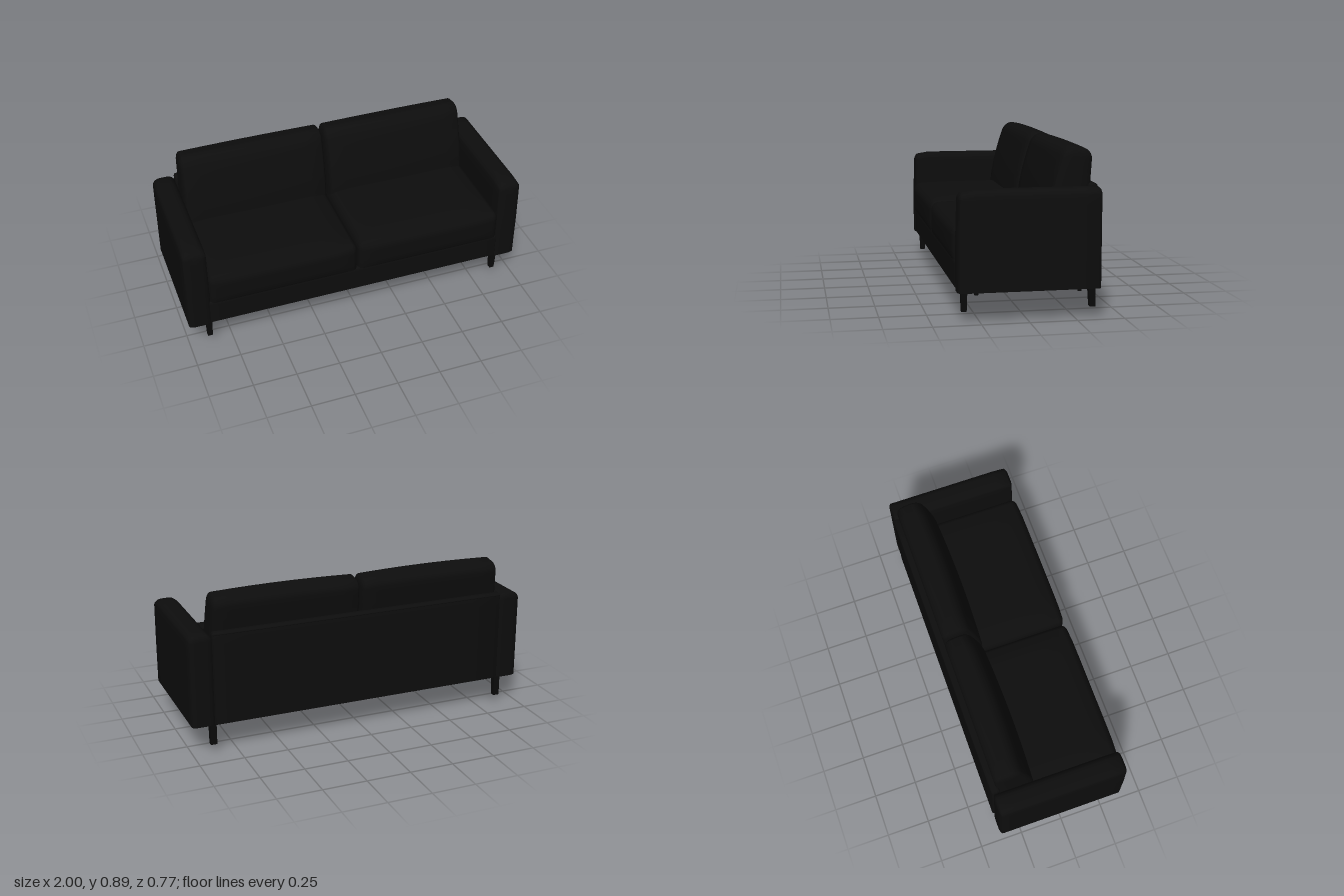
import * as THREE from 'three';
import { mergeVertices, toCreasedNormals } from 'three/addons/utils/BufferGeometryUtils.js';

const upholstery = new THREE.MeshStandardMaterial({ name: 'black upholstery', color: 0x0d0d0d });
const legPaint = new THREE.MeshStandardMaterial({ name: 'black leg paint', color: 0x0a0a0a });

const clamp = THREE.MathUtils.clamp;

// Maps an even grid step so several rows of vertices fall inside the rounded edge.
function gridStep(t, half, r) {
  const a = Math.abs(t);
  const v = a < 0.5 ? (a / 0.5) * (half - r) : half - r + ((a - 0.5) / 0.5) * r;
  return Math.sign(t) * v;
}

// Box between two corners, with edge radii per axis, an optional flat base and a shaping rule.
// The rule gets the point and its position u, v, w (each -1 to 1) in the box.
function softBox(min, max, radius, flatBase, rule) {
  const lo = new THREE.Vector3(...min), hi = new THREE.Vector3(...max);
  const half = hi.clone().sub(lo).multiplyScalar(0.5);
  const mid = lo.clone().add(hi).multiplyScalar(0.5);
  let geo = new THREE.BoxGeometry(2, 2, 2, 20, 20, 20);
  geo.deleteAttribute('normal');
  geo.deleteAttribute('uv');
  const pos = geo.attributes.position;
  const axes = ['x', 'y', 'z'];
  const p = new THREE.Vector3(), inner = new THREE.Vector3(), d = new THREE.Vector3();
  for (let i = 0; i < pos.count; i++) {
    p.fromBufferAttribute(pos, i);
    axes.forEach((a, k) => {
      const r = radius[k], h = half[a];
      p[a] = gridStep(p[a], h, r);
      inner[a] = clamp(p[a], a === 'y' && flatBase ? -h : r - h, h - r);
      d[a] = (p[a] - inner[a]) / r;
    });
    if (d.lengthSq() > 0) {
      d.normalize();
      axes.forEach((a, k) => { p[a] = inner[a] + d[a] * radius[k]; });
    }
    const u = p.x / half.x, v = p.y / half.y, w = p.z / half.z;
    p.add(mid);
    if (rule) rule(p, u, v, w);
    pos.setXYZ(i, p.x, p.y, p.z);
  }
  geo = mergeVertices(geo, 1e-5);
  return toCreasedNormals(geo, 0.7);
}

export function createModel() {
  const sofa = new THREE.Group();
  sofa.name = 'sofa';

  function add(name, geometry, material = upholstery) {
    const mesh = new THREE.Mesh(geometry, material);
    mesh.name = name;
    sofa.add(mesh);
    return mesh;
  }
  const box = (name, min, max, material) => {
    const size = max.map((m, k) => m - min[k]);
    const mesh = add(name, new THREE.BoxGeometry(...size), material);
    mesh.position.set(...max.map((m, k) => (m + min[k]) / 2));
    return mesh;
  };

  // Hollow base: front rail, back panel and a cross beam
  add('frontRail', softBox([-0.875, 0.17, 0.33], [0.875, 0.315, 0.367], [0.01, 0.01, 0.01], true));
  add('backPanel', softBox([-0.87, 0.165, -0.383], [0.87, 0.692, -0.335], [0.01, 0.018, 0.015], true));
  box('crossBeam', [-0.02, 0.26, -0.34], [0.01, 0.305, 0.335]);

  // Piped seam along the top of the back
  const piping = add('backPiping', new THREE.CylinderGeometry(0.005, 0.005, 1.73, 8));
  piping.rotation.z = Math.PI / 2;
  piping.position.set(0, 0.68, -0.379);

  // Rear leg outline, curving forward where it joins the frame
  const rearLeg = new THREE.Shape();
  rearLeg.moveTo(-0.37, 0.045);
  rearLeg.lineTo(-0.341, 0.045);
  rearLeg.lineTo(-0.336, 0.115);
  rearLeg.quadraticCurveTo(-0.334, 0.15, -0.322, 0.17);
  rearLeg.lineTo(-0.37, 0.17);
  rearLeg.closePath();

  for (const side of [-1, 1]) {
    const label = side > 0 ? 'left' : 'right';
    const span = (a, b) => (side > 0 ? [a, b] : [-b, -a]);

    // Arm with rounded top and softened front corner
    const [a0, a1] = span(0.868, 0.998);
    add(label + 'Arm', softBox([a0, 0.163, -0.38], [a1, 0.678, 0.37], [0.04, 0.035, 0.018], true, (p, u, v, w) => {
      const lift = Math.max(0, v);
      p.y += 0.006 * (1 - u * u) * lift;
      p.z -= Math.max(0, w) * 0.008 * lift;
      if (w > 0.85 && v > 0.8) p.y -= 0.025 * ((w - 0.85) / 0.15) ** 2 * ((v - 0.8) / 0.2);
    }));

    // Seat cushion with crowned top and bulging front
    const [s0, s1] = span(0.004, 0.87);
    add(label + 'SeatCushion', softBox([s0, 0.312, -0.333], [s1, 0.488, 0.374], [0.035, 0.045, 0.03], true, (p, u, v, w) => {
      p.y += Math.max(0, v) * 0.024 * (1 - u ** 6) * (1 - Math.max(0, w) ** 4);
      p.z += Math.max(0, w) * 0.012 * (1 - u ** 8) * (1 - v ** 4);
    }));

    // Back cushion leaning rearwards, fuller in the middle
    const [b0, b1] = span(0.004, 0.868);
    add(label + 'BackCushion', softBox([b0, 0.46, -0.1], [b1, 0.876, 0.1], [0.025, 0.055, 0.07], true, (p, u, v, w) => {
      const t = (v + 1) / 2;
      const front = -0.128 - 0.097 * t ** 1.7 + 0.014 * (1 - u * u);
      const back = -0.335 - 0.028 * t;
      p.z = THREE.MathUtils.lerp(back, front, (w + 1) / 2);
      p.y += t ** 4 * (0.006 * (1 - u * u) + 0.012 * w);
      if (u * side > 0) p.x -= side * 0.012 * t * Math.abs(u);
    }));

    // Front leg, slightly tapered
    const leg = add(label + 'FrontLeg', new THREE.CylinderGeometry(0.025, 0.0195, 0.125, 4, 1), legPaint);
    leg.geometry.rotateY(Math.PI / 4);
    leg.geometry = toCreasedNormals(leg.geometry, 0.5);
    leg.position.set(side * 0.88, 0.1075, 0.324);

    // Rear leg
    const rear = new THREE.ExtrudeGeometry(rearLeg, { depth: 0.036, bevelEnabled: false, curveSegments: 6 });
    rear.rotateY(-Math.PI / 2);
    rear.translate(side * 0.88 + 0.018, 0, 0);
    add(label + 'RearLeg', rear, legPaint);

    // Small glides under the arm
    for (const z of [0.27, -0.27]) {
      const pad = add(label + 'Glide', new THREE.CylinderGeometry(0.014, 0.011, 0.025, 12), legPaint);
      pad.position.set(side * 0.95, 0.157, z);
    }
  }

  // Centre support leg
  box('centreLeg', [-0.021, 0, -0.023], [0.009, 0.27, 0.013], legPaint);

  return sofa;
}
